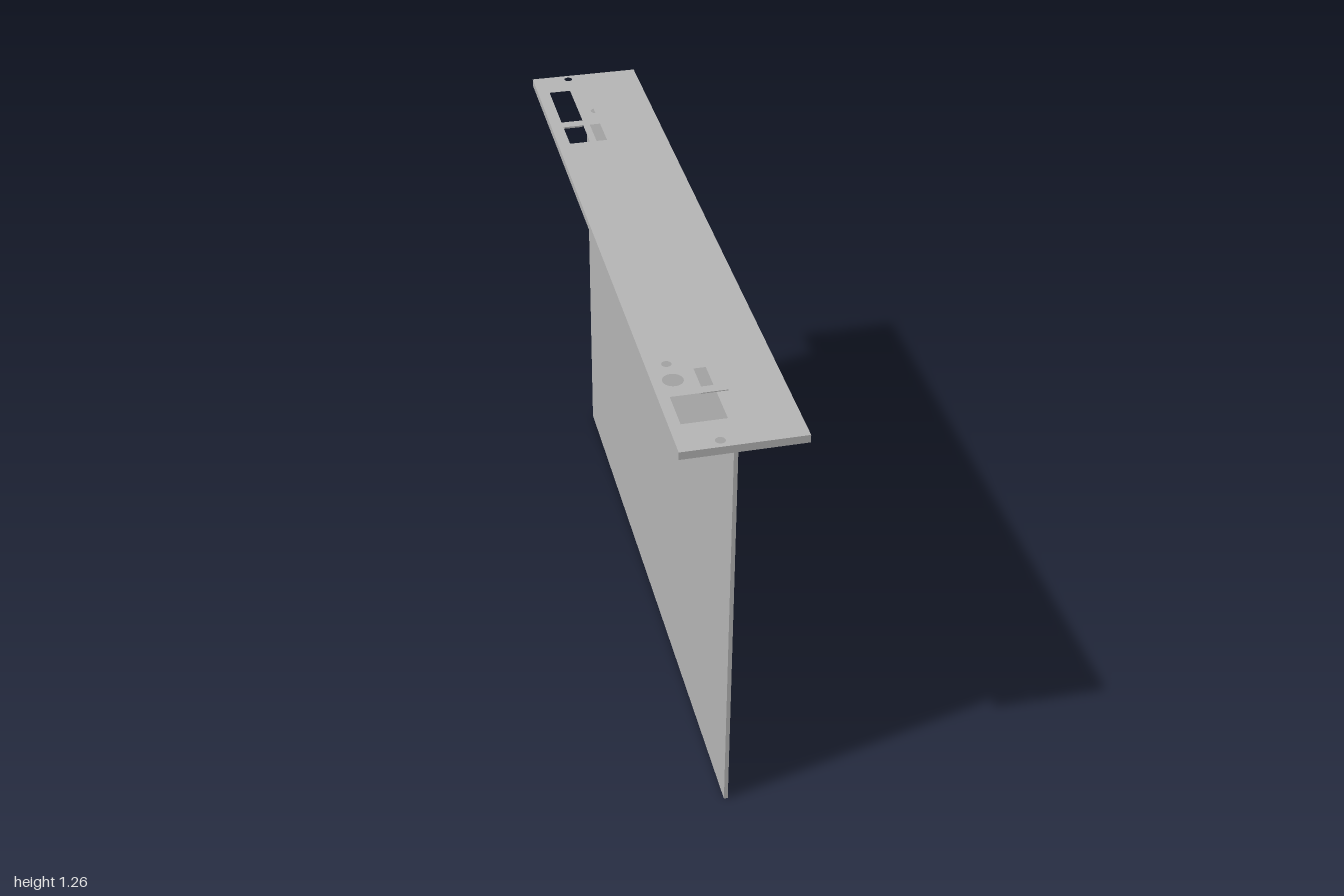
import * as THREE from 'three';

export function createModel() {
  const group = new THREE.Group();
  const grey = new THREE.MeshStandardMaterial({ color: 0xb4b4b4 });
  grey.name = 'plain grey';

  const add = (name, geometry, x = 0, y = 0, z = 0) => {
    const mesh = new THREE.Mesh(geometry, grey);
    mesh.name = name;
    mesh.position.set(x, y, z);
    group.add(mesh);
  };

  // Outline drawn in plan: shape x is model x, shape y is -z
  const rect = (path, x0, x1, z0, z1) => {
    path.moveTo(x0, -z0);
    path.lineTo(x1, -z0);
    path.lineTo(x1, -z1);
    path.lineTo(x0, -z1);
    path.closePath();
    return path;
  };

  // Cover plate with connector cut-outs
  const plate = rect(new THREE.Shape(), -0.161, 0.161, -1, 1);
  const slots = [
    [-0.126, -0.062, -0.897, -0.695],
    [-0.126, -0.066, -0.663, -0.557],
    [-0.046, 0.016, -0.663, -0.557],
    [-0.046, 0.032, 0.668, 0.748],
    [-0.131, 0.016, 0.775, 0.891],
  ];
  for (const s of slots) plate.holes.push(rect(new THREE.Path(), ...s));

  // Round holes: x, z, radius
  const rounds = [
    [-0.053, -0.976, 0.012],
    [-0.01, -0.748, 0.016],
    [-0.107, 0.634, 0.013],
    [-0.107, 0.706, 0.027],
    [-0.054, 0.974, 0.013],
  ];
  for (const [x, z, r] of rounds) {
    plate.holes.push(new THREE.Path().absarc(x, -z, r, 0, Math.PI * 2, true));
  }
  const plateGeometry = new THREE.ExtrudeGeometry(plate, {
    depth: 0.022, bevelEnabled: false, curveSegments: 16,
  });
  plateGeometry.rotateX(-Math.PI / 2);
  add('coverPlate', plateGeometry, 0, 1.24, 0);

  // Thin upright panel
  add('panel', new THREE.BoxGeometry(0.011, 1.24, 1.85), -0.001, 0.62, 0);

  // Folded flange under the plate, on the left side of the panel
  add('flange', new THREE.BoxGeometry(0.09, 0.011, 1.85), 0.0495, 1.2345, 0);

  return group;
}
